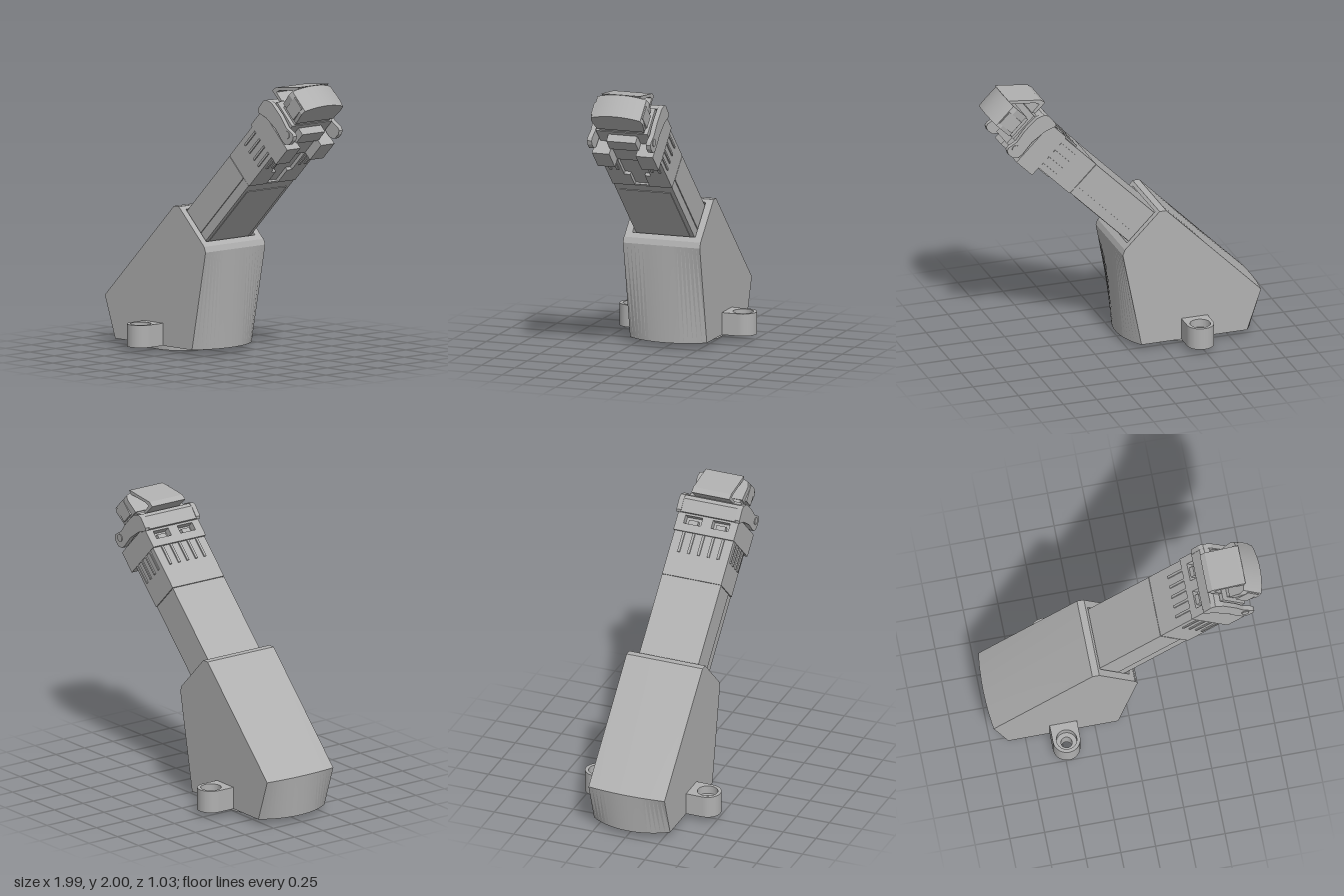
import * as THREE from 'three';
import { toCreasedNormals } from 'three/addons/utils/BufferGeometryUtils.js';

export function createModel() {
  const root = new THREE.Group();
  const grey = new THREE.MeshStandardMaterial({ color: 0xb0b0b0 });

  const add = (parent, name, geo) => {
    const m = new THREE.Mesh(geo, grey);
    m.name = name;
    parent.add(m);
    return m;
  };
  // box given by its limits on each axis
  const block = (parent, name, x0, x1, y0, y1, z0, z1) =>
    add(parent, name, new THREE.BoxGeometry(x1 - x0, y1 - y0, z1 - z0)
      .translate((x0 + x1) / 2, (y0 + y1) / 2, (z0 + z1) / 2));
  const outline = pts => new THREE.Shape(pts.map(p => new THREE.Vector2(...p)));
  const rect = (x0, x1, y0, y1) => outline([[x0, y0], [x1, y0], [x1, y1], [x0, y1]]);
  const extrude = (shape, depth) =>
    new THREE.ExtrudeGeometry(shape, { depth, bevelEnabled: false, curveSegments: 20 });
  const circle = r => new THREE.Path().absarc(0, 0, r, 0, Math.PI * 2, true);

  // Housing: side profile swept across z, its ends rounding to a circle at the floor
  const W = 0.29, N = 20, pos = [];
  const section = z => {
    const s = Math.sqrt(0.49 * 0.49 - z * z);
    return [[-0.48 - s, 0.04], [-0.48 + s, 0.04], [0.055, 0.75], [0.04, 0.79],
      [-0.22, 1.05], [-0.27, 1.05], [-1 + 0.02 * (z / W) ** 2, 0.34]].map(p => [p[0], p[1], z]);
  };
  const tri = (...c) => c.forEach(p => pos.push(...p));
  for (let i = 0; i < N; i++) {
    const A = section(-W + 2 * W * i / N), B = section(-W + 2 * W * (i + 1) / N);
    for (let j = 0; j < 7; j++) {
      if (j === 3) continue; // open face for the socket
      const k = (j + 1) % 7;
      tri(A[j], A[k], B[k]);
      tri(A[j], B[k], B[j]);
    }
  }
  const back = section(-W), front = section(W);
  for (let j = 1; j < 6; j++) {
    tri(front[0], front[j], front[j + 1]);
    tri(back[0], back[j + 1], back[j]);
  }
  const hull = new THREE.BufferGeometry();
  hull.setAttribute('position', new THREE.Float32BufferAttribute(pos, 3));
  add(root, 'housing', toCreasedNormals(hull, 0.25));

  // Base ring
  const ring = new THREE.Shape().absarc(0, 0, 0.245, 0, Math.PI * 2);
  ring.holes.push(circle(0.085));
  add(root, 'baseRing', extrude(ring, 0.042).rotateX(-Math.PI / 2).translate(-0.48, 0, 0));

  // Mounting lugs with counterbored holes
  for (const turn of [0, Math.PI]) {
    const lug = new THREE.Group();
    lug.name = 'mountingLug';
    lug.position.x = -0.48;
    lug.rotation.y = turn;
    for (const [r, y0, y1] of [[0.04, 0.04, 0.14], [0.073, 0.14, 0.2]]) {
      const s = new THREE.Shape();
      s.moveTo(-0.098, -0.135);
      s.lineTo(0.098, -0.135);
      s.absarc(0, 0, 0.098, 0, Math.PI);
      s.closePath();
      s.holes.push(circle(r));
      add(lug, 'lugLayer', extrude(s, y1 - y0).rotateX(-Math.PI / 2).translate(0, y0, -0.415));
    }
    root.add(lug);
  }

  // Everything on the slanted axis: x runs along the arm, y across it
  const arm = new THREE.Group();
  arm.name = 'armAssembly';
  arm.position.set(-0.1, 0.925, 0);
  arm.rotation.z = Math.PI / 4;
  root.add(arm);

  // Socket frame in the housing
  const frame = rect(-0.2895, 0.2895, -0.195, 0.175);
  frame.holes.push(rect(-0.237, 0.237, -0.15, 0.147));
  add(arm, 'socketFrame', extrude(frame, 0.12).rotateY(Math.PI / 2).translate(-0.12, 0, 0));
  block(arm, 'socketFloor', -0.14, -0.12, -0.16, 0.16, -0.25, 0.25);

  // Arm body, lower rail and underside panel
  block(arm, 'armUpper', -0.12, 0.607, -0.062, 0.138, -0.225, 0.225);
  block(arm, 'armLower', -0.12, 0.607, -0.134, -0.066, -0.221, 0.221);
  block(arm, 'armCore', -0.12, 0.615, -0.13, 0.13, -0.217, 0.217);
  block(arm, 'undersidePanel', -0.12, 0.54, -0.139, -0.13, -0.19, 0.19);

  // Connector sleeve, with an underside slot left between two cheeks
  block(arm, 'sleeve', 0.612, 0.95, -0.115, 0.14, -0.225, 0.225);
  for (const s of [-1, 1]) {
    const cheek = (x0, x1, a, b) => block(arm, 'sleeveCheek', x0, x1, -0.14, -0.115,
      Math.min(s * a, s * b), Math.max(s * a, s * b));
    cheek(0.612, 0.75, 0.055, 0.225);
    cheek(0.75, 0.95, 0.1, 0.225);
    // grip ribs on the sides
    for (const v of [-0.1, -0.04, 0.025, 0.09])
      block(arm, 'sideRib', 0.79, 0.94, v - 0.008, v + 0.008, s * 0.228 - 0.006, s * 0.228 + 0.006);
    for (const z of [0.13, 0.185])
      block(arm, 'lowerRib', 0.81, 0.94, -0.149, -0.135, s * z - 0.009, s * z + 0.009);
  }
  for (let i = -2; i <= 2; i++)
    block(arm, 'topRib', 0.79, 0.94, 0.135, 0.15, i * 0.075 - 0.009, i * 0.075 + 0.009);

  // Collar with two windows on top and two feet below
  block(arm, 'collar', 0.942, 1.107, -0.14, 0.105, -0.23, 0.23);
  const lid = rect(0.942, 1.09, -0.23, 0.23);
  for (const s of [-1, 1]) {
    lid.holes.push(rect(1.0, 1.06, s * 0.105 - 0.065, s * 0.105 + 0.065));
    block(arm, 'windowTab', 1.0, 1.035, 0.1, 0.14, s * 0.105 - 0.035, s * 0.105 + 0.035);
    block(arm, 'collarFoot', 0.942, 1.107, -0.209, -0.14, s * 0.165 - 0.065, s * 0.165 + 0.065);
  }
  add(arm, 'collarLid', extrude(lid, 0.05).rotateX(-Math.PI / 2).translate(0, 0.105, 0));

  // Locking bail: two side levers joined by a crossbar
  const lever = outline([[1.071, 0.165], [1.085, 0.182], [1.17, 0.19], [1.2, 0.175], [1.227, 0.124],
    [1.232, 0], [1.22, -0.095], [1.238, -0.165], [1.232, -0.188], [1.205, -0.202], [1.156, -0.2],
    [1.125, -0.17], [1.12, -0.13], [1.128, -0.032], [1.107, 0.088]].reverse());
  for (const s of [-1, 1]) {
    add(arm, 'bailLever', extrude(lever, 0.035).translate(0, 0, s * 0.2225 - 0.0175));
    add(arm, 'pivotPin', new THREE.CylinderGeometry(0.027, 0.027, 0.04, 24)
      .rotateX(Math.PI / 2).translate(1.191, -0.138, s * 0.226));
  }
  const bar = outline([[1.075, 0.14], [1.075, 0.175], [1.17, 0.188], [1.2, 0.172], [1.215, 0.13]].reverse());
  add(arm, 'bailCrossbar', extrude(bar, 0.42).translate(0, 0, -0.21));

  // Plug core between the levers
  block(arm, 'plugCore', 1.1, 1.235, -0.1, 0.12, -0.195, 0.195);
  block(arm, 'lowerLatch', 1.1, 1.2, -0.16, -0.1, -0.11, 0.11);
  block(arm, 'plugNeck', 1.2, 1.3, -0.095, 0.07, -0.165, 0.165);

  // Head with a curved end face and side panels
  const tip = new THREE.Shape();
  tip.moveTo(1.265, -0.18);
  tip.lineTo(1.37, -0.195);
  tip.lineTo(1.405, -0.185);
  tip.quadraticCurveTo(1.475, 0, 1.405, 0.185);
  tip.lineTo(1.37, 0.195);
  tip.lineTo(1.265, 0.18);
  add(arm, 'head', toCreasedNormals(extrude(tip, 0.183), 0.4).rotateX(-Math.PI / 2).translate(0, -0.103, 0));
  for (const s of [-1, 1])
    block(arm, 'headSidePanel', 1.275, 1.4, -0.075, 0.03, s * 0.188 - 0.008, s * 0.188 + 0.008);

  // Bent release flap over the plug
  const flap = outline([[0.86, 2.0], [0.84, 2.0], [0.62, 1.975], [0.585, 1.95], [0.66, 1.88],
    [0.685, 1.885], [0.63, 1.943], [0.66, 1.958], [0.84, 1.975]]);
  add(root, 'releaseFlap', extrude(flap, 0.29).translate(0, 0, -0.145));

  return root;
}
